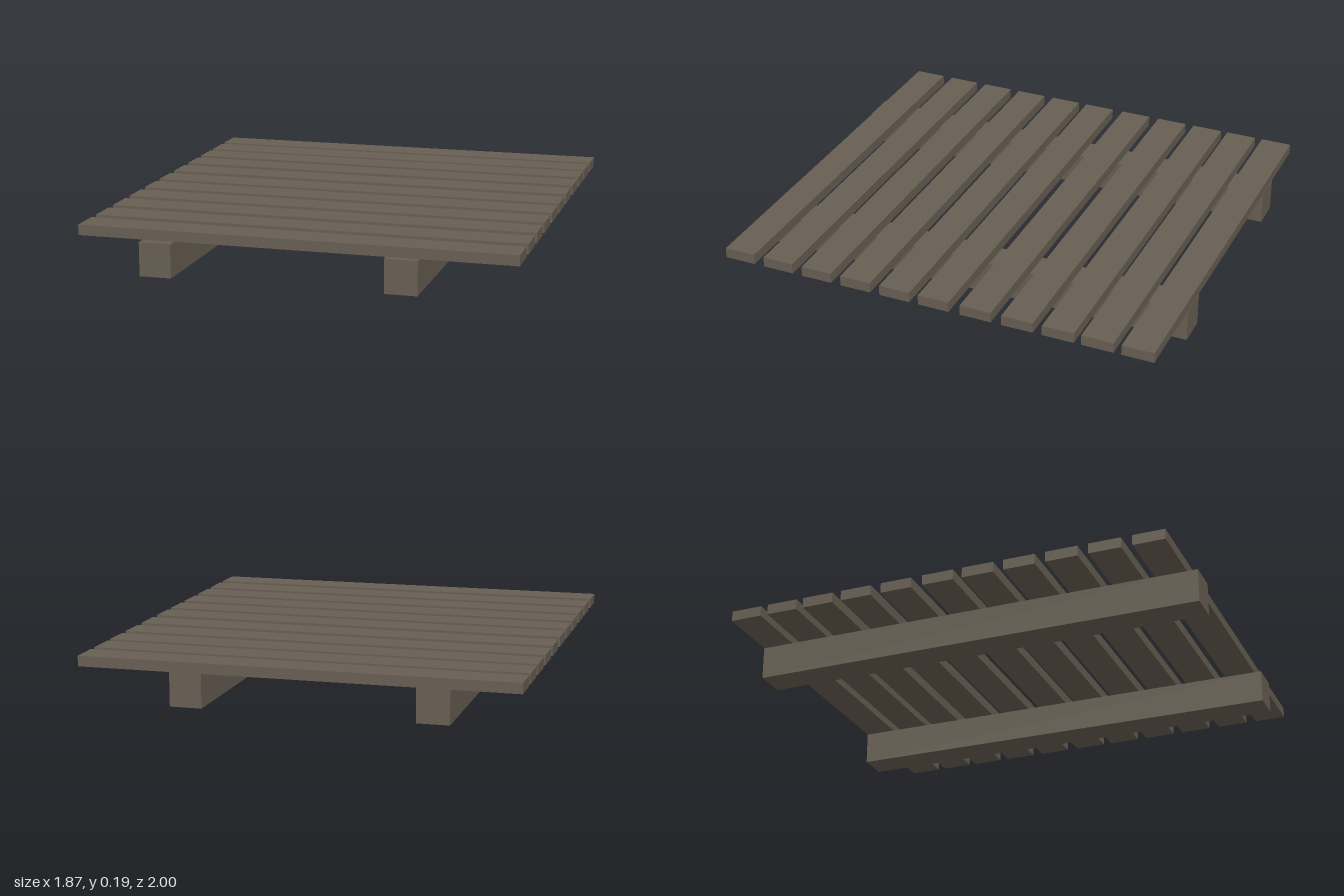
import * as THREE from 'three';

export function createModel() {
  const group = new THREE.Group();
  const wood = new THREE.MeshStandardMaterial({ color: 0x685f53 });
  wood.name = 'weathered wood';

  // Box given by its lower and upper limits on each axis
  function beam(name, x0, x1, y0, y1, z0, z1) {
    const mesh = new THREE.Mesh(new THREE.BoxGeometry(x1 - x0, y1 - y0, z1 - z0), wood);
    mesh.position.set((x0 + x1) / 2, (y0 + y1) / 2, (z0 + z1) / 2);
    mesh.name = name;
    group.add(mesh);
  }

  const railTop = 0.145, slatTop = 0.19, slatWidth = 0.139;

  // Two support rails, the left one slightly shorter at the front
  beam('rightRail', -0.646, -0.508, 0, railTop, -1, 1);
  beam('leftRail', 0.393, 0.531, 0, railTop, -1, 0.985);

  // Unevenly spaced deck slats, back to front
  const slatCentres = [-0.929, -0.757, -0.587, -0.408, -0.222, -0.032, 0.147, 0.33, 0.514, 0.699, 0.885];
  slatCentres.forEach((z, i) => {
    beam(`slat${i + 1}`, -0.934, 0.934, railTop, slatTop, z - slatWidth / 2, z + slatWidth / 2);
  });

  return group;
}
